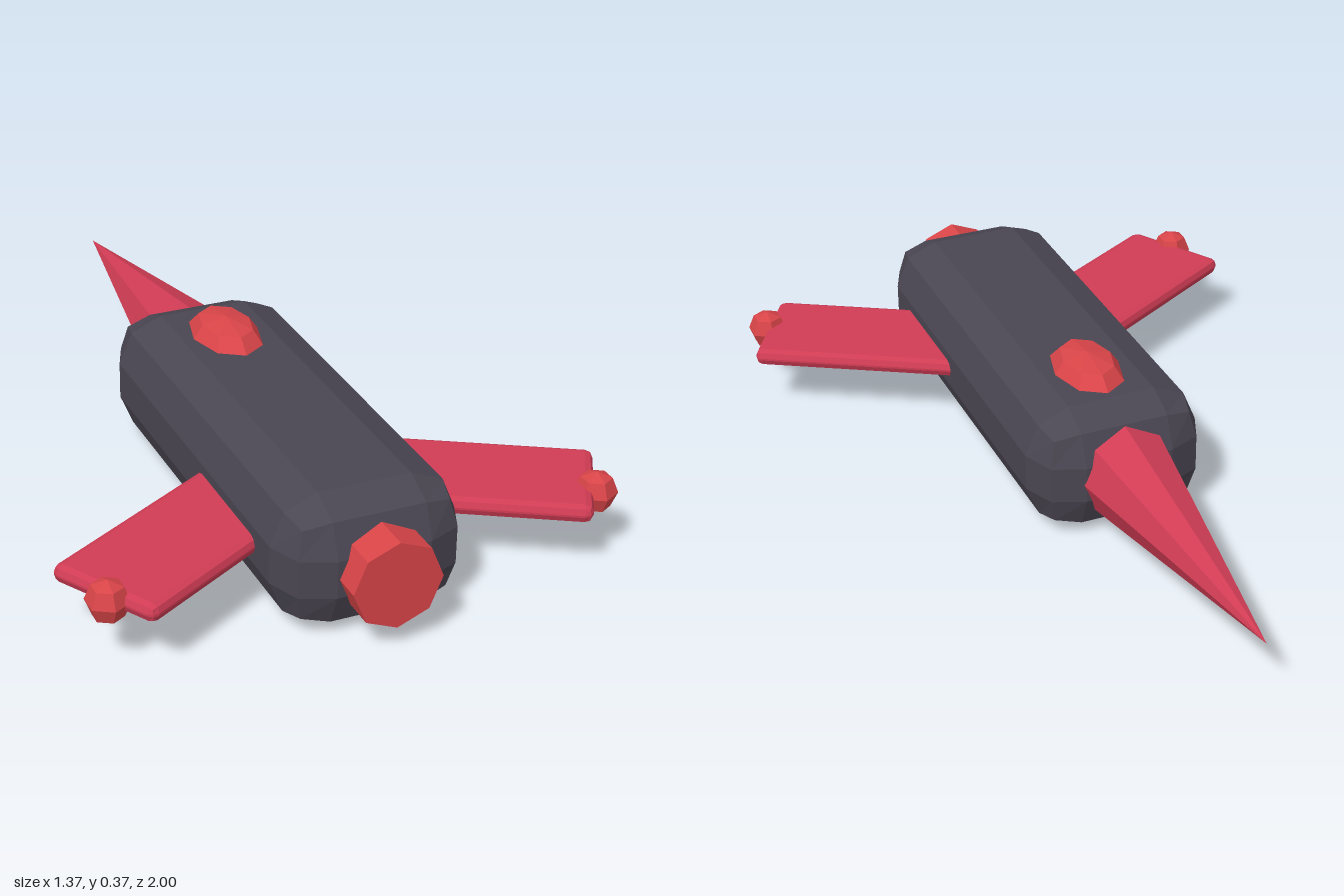
import * as THREE from 'three';
import { RoundedBoxGeometry } from 'three/addons/geometries/RoundedBoxGeometry.js';

const MID = 0.1625; // height of the long axis

export function createModel() {
  const model = new THREE.Group();
  model.name = 'ship';

  const material = (name, color) => {
    const m = new THREE.MeshStandardMaterial({ color });
    m.name = name;
    return m;
  };
  const hull = material('charcoal hull', 0x4a4652);
  const crimson = material('crimson', 0xd03c54);
  const scarlet = material('scarlet', 0xd84448);

  // Adds a faceted mesh
  const add = (name, geometry, mat, x, y, z, parent = model) => {
    const flat = geometry.index ? geometry.toNonIndexed() : geometry;
    flat.computeVertexNormals();
    const mesh = new THREE.Mesh(flat, mat);
    mesh.name = name;
    mesh.position.set(x, y, z);
    parent.add(mesh);
    return mesh;
  };

  // Hull with bevelled edges
  add('hull', new RoundedBoxGeometry(0.46, 2 * MID, 1.19, 1, 0.115), hull, 0, MID, 0.335);

  // Long spike pointing to -z
  const spike = new THREE.ConeGeometry(0.13, 0.8, 8);
  spike.rotateX(-Math.PI / 2);
  add('spike', spike, crimson, 0, MID, -0.6);

  // Engine nozzle at +z
  const engine = new THREE.CylinderGeometry(0.11, 0.11, 0.14, 8);
  engine.rotateX(Math.PI / 2);
  add('engine', engine, scarlet, 0, MID, 0.93);

  // Canopy: flattened low-poly ellipsoid
  const canopy = new THREE.SphereGeometry(1, 8, 4);
  canopy.scale(0.09, 0.054, 0.14);
  add('canopy', canopy, scarlet, 0, 0.32, 0.01);

  // Swept wings, each with a small tip light
  for (const side of [1, -1]) {
    const wing = new THREE.Group();
    wing.name = side > 0 ? 'leftWing' : 'rightWing';
    wing.position.set(side * 0.357, MID, 0.637);
    wing.rotation.y = -side * Math.PI / 6;
    add('wingPanel', new RoundedBoxGeometry(0.6, 0.045, 0.295, 1, 0.02), crimson, 0, 0, 0, wing);
    add('tipLight', new THREE.SphereGeometry(0.053, 6, 4), scarlet, side * 0.305, 0, 0.023, wing);
    model.add(wing);
  }
  return model;
}
